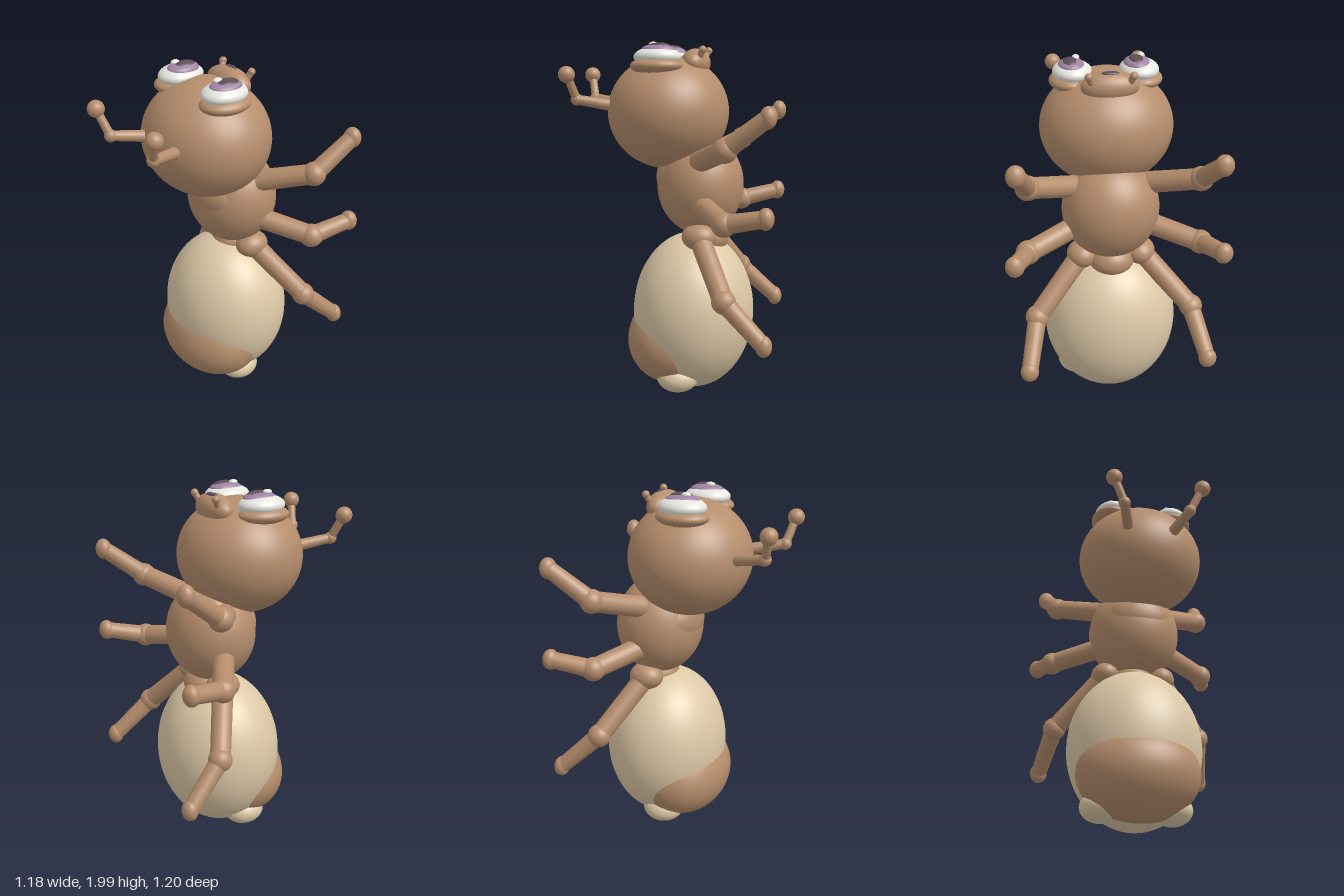
import * as THREE from 'three';

const mat = (name, color) => {
  const m = new THREE.MeshStandardMaterial({ color });
  m.name = name;
  return m;
};

export function createModel() {
  const brown = mat('brown skin', 0xb58d6c);
  const cream = mat('cream belly', 0xdcc8a6);
  const white = mat('eye white', 0xe6e6e0);
  const purple = mat('purple iris', 0xa084a4);
  const dark = mat('dark pupil', 0x5e4e54);
  const noseDark = mat('dark nose', 0x574c5e);

  const model = new THREE.Group();
  model.name = 'ant';

  const sphere = new THREE.SphereGeometry(1, 48, 32);
  const smallSphere = new THREE.SphereGeometry(1, 24, 16);

  // Ellipsoid from centre and radii
  const ball = (parent, name, material, centre, radii) => {
    const big = Math.max(...radii) > 0.09;
    const mesh = new THREE.Mesh(big ? sphere : smallSphere, material);
    mesh.name = name;
    mesh.position.set(...centre);
    mesh.scale.set(...radii);
    parent.add(mesh);
    return mesh;
  };

  // Tapered rod between two points
  const rod = (parent, name, a, b, r0, r1) => {
    const p = new THREE.Vector3(...a), q = new THREE.Vector3(...b);
    const dir = q.clone().sub(p);
    const mesh = new THREE.Mesh(new THREE.CylinderGeometry(r1, r0, dir.length(), 24), brown);
    mesh.name = name;
    mesh.position.copy(p).add(q).multiplyScalar(0.5);
    mesh.quaternion.setFromUnitVectors(new THREE.Vector3(0, 1, 0), dir.normalize());
    parent.add(mesh);
  };

  // Body
  ball(model, 'head', brown, [0, 1.615, 0.039], [0.367, 0.32, 0.342]);
  ball(model, 'thorax', brown, [0, 1.205, -0.147], [0.27, 0.285, 0.246]);
  ball(model, 'chestPlate', brown, [0, 1.25, -0.03], [0.197, 0.15, 0.135]);
  ball(model, 'waist', brown, [0, 0.9, -0.175], [0.13, 0.1, 0.135]);
  ball(model, 'abdomen', cream, [0, 0.465, -0.11], [0.385, 0.46, 0.35]);
  ball(model, 'abdomenPatch', brown, [0, 0.29, 0.005], [0.345, 0.263, 0.271]);

  // Snout and nose
  ball(model, 'snout', brown, [0, 1.885, -0.116], [0.153, 0.08, 0.081]);
  ball(model, 'nose', noseDark, [0, 1.957, -0.13], [0.049, 0.012, 0.021]);

  // Eyes
  for (const [side, x, irisX, pupilX, glintX] of [
    ['left', 0.179, 0.183, 0.19, 0.157],
    ['right', -0.179, -0.167, -0.162, -0.192],
  ]) {
    const eye = new THREE.Group();
    eye.name = side + 'Eye';
    model.add(eye);
    ball(eye, 'socket', brown, [x * 1.06, 1.868, 0.069], [0.115, 0.05, 0.145]);
    ball(eye, 'eyeWhite', white, [x, 1.916, 0.066], [0.106, 0.055, 0.13]);
    ball(eye, 'iris', purple, [irisX, 1.95, 0.061], [0.071, 0.034, 0.094]);
    ball(eye, 'pupil', dark, [pupilX, 1.969, 0.054], [0.041, 0.022, 0.064]);
    ball(eye, 'glint', white, [glintX, 1.983, 0.092], [0.02, 0.014, 0.026]);
  }

  // Leg paths: hip, knee, foot
  const legs = [
    ['upperLeg', [0.2, 1.355, -0.17], [0.452, 1.44, -0.338], [0.508, 1.61, -0.557]],
    ['middleLeg', [0.2, 1.115, -0.18], [0.468, 1.06, -0.338], [0.54, 1.11, -0.557]],
    ['lowerLeg', [0.165, 0.93, -0.165], [0.436, 0.64, -0.338], [0.497, 0.43, -0.557]],
  ];

  for (const s of [1, -1]) {
    const side = s > 0 ? 'left' : 'right';
    const at = ([x, y, z]) => [x * s, y, z];

    for (const [name, hip, knee, foot] of legs) {
      const leg = new THREE.Group();
      leg.name = side + name[0].toUpperCase() + name.slice(1);
      model.add(leg);
      rod(leg, 'thigh', at(hip), at(knee), 0.06, 0.056);
      ball(leg, 'knee', brown, at(knee), [0.066, 0.066, 0.066]);
      rod(leg, 'shin', at(knee), at(foot), 0.052, 0.045);
      ball(leg, 'foot', brown, at(foot), [0.05, 0.058, 0.044]);
      if (name === 'lowerLeg') ball(leg, 'hip', brown, at(hip), [0.085, 0.075, 0.098]);
    }

    // Jointed feelers on the front of the head
    const feeler = new THREE.Group();
    feeler.name = side + 'Feeler';
    model.add(feeler);
    const root = at([0.125, 1.65, 0.32]), elbow = at([0.188, 1.686, 0.52]), tip = at([0.254, 1.822, 0.555]);
    rod(feeler, 'feelerBase', root, elbow, 0.033, 0.027);
    ball(feeler, 'feelerElbow', brown, elbow, [0.034, 0.034, 0.034]);
    rod(feeler, 'feelerTip', elbow, tip, 0.024, 0.022);
    ball(feeler, 'feelerKnob', brown, tip, [0.046, 0.046, 0.046]);

    // Short whiskers on the snout
    const bristleTip = at([0.115, 1.955, -0.172]);
    rod(model, side + 'Bristle', at([0.09, 1.89, -0.14]), bristleTip, 0.02, 0.017);
    ball(model, side + 'BristleTip', brown, bristleTip, [0.021, 0.021, 0.021]);

    // Pale lobes under the abdomen
    ball(model, side + 'Lobe', cream, at([0.2, 0.115, -0.05]), [0.112, 0.085, 0.12]);
  }

  return model;
}
